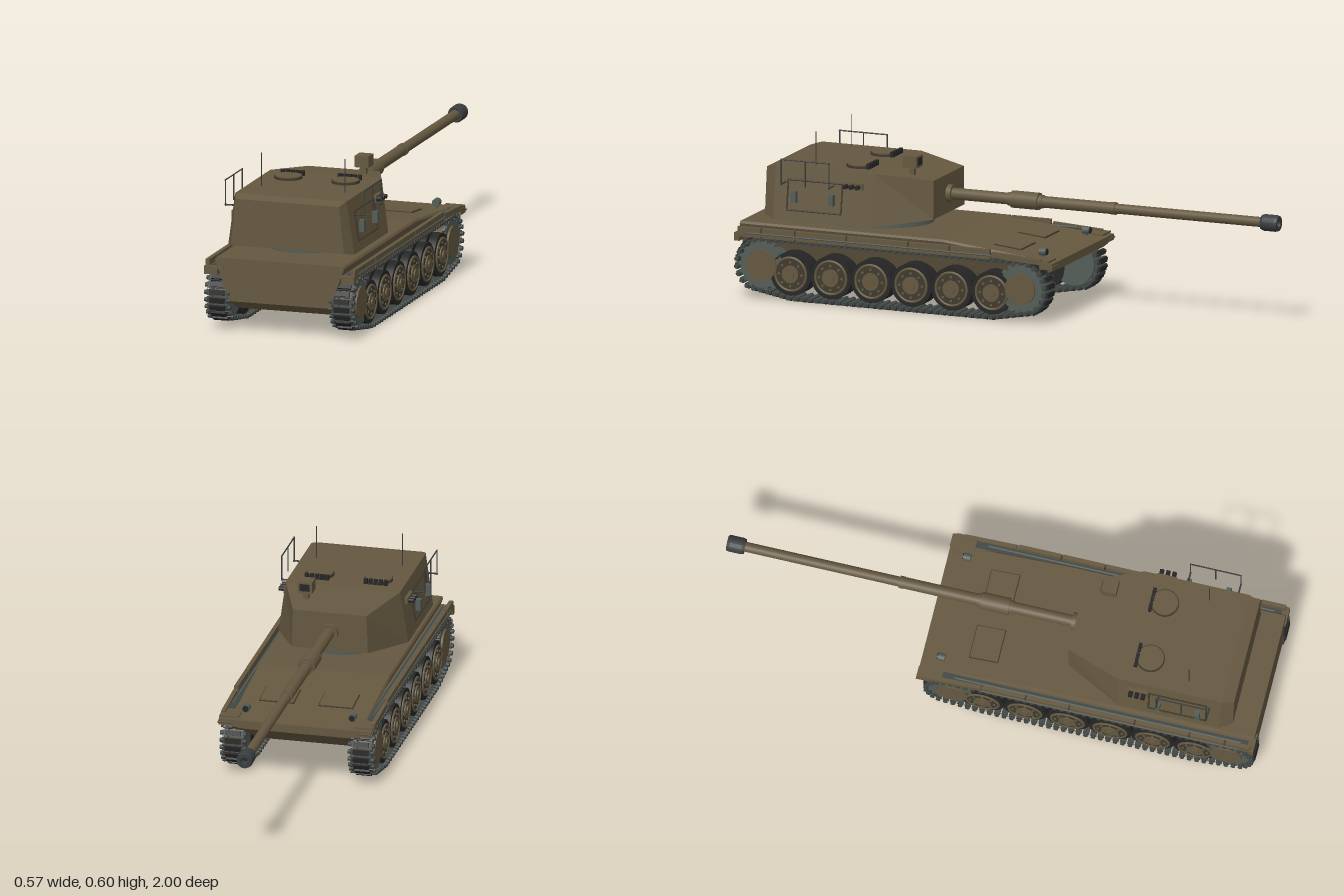
import * as THREE from 'three';
import { mergeGeometries } from 'three/addons/utils/BufferGeometryUtils.js';

const mat = (name, color, extra = {}) => Object.assign(new THREE.MeshStandardMaterial({ color, ...extra }), { name });
const M = {
  paint: mat('olive brown paint', 0x655840),
  seam: mat('dark brown seam', 0x41392b),
  steel: mat('grey green steel', 0x545d58),
  link: mat('track steel', 0x414745),
  rubber: mat('black rubber', 0x262626),
  gunmetal: mat('gunmetal', 0x3a3e3e),
};

// Symmetric ring from its +x half, given as [x, y, z]
const ring = half => half.concat(half.map(([x, y, z]) => [-x, y, z]).reverse());

// Flat-faced solid between rings, capped by strips from side to side
function loft(rings) {
  const tris = [], n = rings[0].length;
  const quad = (a, b, c, d) => tris.push([a, b, c], [a, c, d]);
  for (let r = 0; r + 1 < rings.length; r++)
    for (let i = 0; i < n; i++) {
      const j = (i + 1) % n;
      quad(rings[r][i], rings[r][j], rings[r + 1][j], rings[r + 1][i]);
    }
  const first = rings[0], last = rings[rings.length - 1];
  for (let i = 0; i + 1 < n / 2; i++) {
    quad(first[i + 1], first[i], first[n - 1 - i], first[n - 2 - i]);
    quad(last[i], last[i + 1], last[n - 2 - i], last[n - 1 - i]);
  }
  // Make every face point outward
  const mid = new THREE.Vector3(...first[0].map((_, k) => rings.flat().reduce((s, p) => s + p[k], 0) / rings.flat().length));
  let volume = 0;
  for (const t of tris) {
    const [a, b, c] = t.map(p => new THREE.Vector3(...p).sub(mid));
    volume += a.dot(b.cross(c));
  }
  if (volume < 0) tris.forEach(t => t.reverse());
  const g = new THREE.BufferGeometry();
  g.setAttribute('position', new THREE.Float32BufferAttribute(tris.flat(2), 3));
  g.computeVertexNormals();
  return g;
}

const box = (w, h, d, x, y, z, rx = 0) => new THREE.BoxGeometry(w, h, d).rotateX(rx).translate(x, y, z);
const cylX = (r, len, x, y, z, n = 24) => new THREE.CylinderGeometry(r, r, len, n).rotateZ(Math.PI / 2).translate(x, y, z);
const cylY = (r, len, x, y, z, n = 24) => new THREE.CylinderGeometry(r, r, len, n).translate(x, y, z);
const cylZ = (r, len, x, y, z, n = 8) => new THREE.CylinderGeometry(r, r, len, n).rotateX(Math.PI / 2).translate(x, y, z);

export function createModel() {
  const model = new THREE.Group();
  const add = (name, material, ...geos) => {
    const m = new THREE.Mesh(geos.length > 1 ? mergeGeometries(geos) : geos[0], material);
    m.name = name;
    model.add(m);
    return m;
  };
  const sides = [1, -1];
  const both = fn => sides.flatMap(fn);

  // Hull: stations [z, bottom half width, bottom y, knee half width, knee y, top y]
  const hull = [
    [0.99, 0.19, 0.113, 0.19, 0.115, 0.27],
    [0.9, 0.19, 0.07, 0.19, 0.115, 0.27],
    [0.2, 0.19, 0.07, 0.19, 0.115, 0.27],
    [0.0, 0.19, 0.07, 0.19, 0.115, 0.249],
    [-0.235, 0.19, 0.195, 0.235, 0.2, 0.225],
  ].map(([z, wb, yb, wk, yk, yt]) => ring([[wb, yb, z], [wk, yk, z], [0.243, yt - 0.008, z], [0.238, yt, z]]));
  add('hull', M.paint, loft(hull));
  add('nosePlate', M.paint, box(0.56, 0.022, 0.05, 0, 0.215, -0.213));

  // Fenders with segmented side boxes and a pipe in the gutter
  add('fenders', M.paint, ...both(s => [
    box(0.07, 0.006, 1.22, s * 0.246, 0.232, 0.385),
    box(0.05, 0.03, 0.02, s * 0.258, 0.222, 0.985),
    box(0.05, 0.006, 0.06, s * 0.258, 0.222, -0.212, -0.3),
  ]));
  const skirtEnds = [0.985, 0.89, 0.76, 0.56, 0.32, 0.16, 0.0];
  add('fenderBoxes', M.paint, ...both(s => [
    ...skirtEnds.slice(1).map((z, i) => box(0.015, 0.036, skirtEnds[i] - z - 0.006, s * 0.2745, 0.241, (z + skirtEnds[i]) / 2)),
    box(0.015, 0.02, 0.19, s * 0.2745, 0.235, -0.1, -0.06),
  ]));
  add('fenderSeams', M.seam, ...both(s => skirtEnds.slice(1, 6).map(z => box(0.012, 0.032, 0.008, s * 0.2745, 0.241, z))));
  add('gutterStrips', M.link, ...both(s => box(0.024, 0.003, 1.12, s * 0.255, 0.236, 0.41)));
  add('gutterPipes', M.steel, ...both(s => [cylZ(0.004, 1.05, s * 0.257, 0.241, 0.42), cylZ(0.003, 0.95, s * 0.2825, 0.238, 0.47)]));

  // Front deck hatches: a dark rim below a painted lid
  const tilt = -Math.atan(0.103);
  add('deckHatchRims', M.seam, ...both(s => box(0.128, 0.004, 0.108, s * 0.108, 0.248, -0.02, tilt)));
  add('deckHatches', M.paint, ...both(s => box(0.122, 0.008, 0.102, s * 0.108, 0.248, -0.02, tilt)));
  add('headlights', M.steel, ...both(s => [cylZ(0.014, 0.026, s * 0.195, 0.25, -0.168, 12), box(0.012, 0.02, 0.012, s * 0.195, 0.235, -0.165)]));
  add('headlightGlass', M.rubber, ...both(s => cylZ(0.011, 0.004, s * 0.195, 0.25, -0.182, 12)));

  // Turret ring and turret
  add('turretRing', M.steel, cylY(1, 0.03, 0, 0, 0, 40).scale(0.177, 1, 0.245).translate(0, 0.28, 0.595));
  add('turret', M.paint, loft([
    ring([[0.14, 0.315, 0.283], [0.238, 0.287, 0.49], [0.238, 0.287, 0.86], [0.213, 0.297, 0.905]]),
    ring([[0.135, 0.457, 0.283], [0.21, 0.48, 0.48], [0.21, 0.48, 0.865], [0.195, 0.468, 0.905]]),
  ]));

  // Roof cupolas with a row of periscopes
  add('cupolaRims', M.seam, ...both(s => cylY(0.051, 0.012, s * 0.108, 0.482, 0.578, 32)));
  add('cupolas', M.paint, ...both(s => cylY(0.047, 0.014, s * 0.108, 0.484, 0.578, 32)));
  add('periscopes', M.rubber, ...both(s => [-2, -1, 0, 1, 2].map(i => box(0.014, 0.022, 0.012, s * 0.108 + i * 0.0185, 0.488, 0.532))));

  // Roof sight
  add('sight', M.paint, box(0.052, 0.042, 0.055, 0.108, 0.516, 0.377), box(0.02, 0.04, 0.02, 0.108, 0.48, 0.377));
  add('sightWindow', M.rubber, box(0.036, 0.026, 0.004, 0.108, 0.517, 0.349));

  // Aerials and side rails
  add('aerials', M.gunmetal, ...both(s => cylY(0.0018, 0.13, s * 0.158, 0.537, 0.73, 6)));
  add('sideRails', M.gunmetal, ...both(s => [
    ...[0.635, 0.7275, 0.82].map(z => cylY(0.0025, 0.095, s * 0.262, 0.467, z, 6)),
    cylZ(0.0025, 0.19, s * 0.262, 0.514, 0.7275, 6),
    ...[0.635, 0.82].map(z => cylX(0.003, 0.045, s * 0.243, 0.424, z, 6)),
  ]));

  // Turret side fittings
  add('sideFrames', M.seam, ...both(s => [
    ...[0.6, 0.81].map(z => cylY(0.003, 0.11, 0, 0, 0, 6).rotateZ(s * 0.145).translate(s * 0.229, 0.38, z)),
    cylZ(0.003, 0.21, s * 0.222, 0.434, 0.705, 6),
    cylZ(0.003, 0.21, s * 0.236, 0.326, 0.705, 6),
  ]));
  add('sideCases', M.steel, ...both(s => [0.635, 0.78].map(z => box(0.02, 0.042, 0.018, s * 0.24, 0.376, z))));
  add('smokeLaunchers', M.rubber, ...both(s => [0.535, 0.558, 0.581].map(z => cylX(0.008, 0.034, s * 0.231, 0.43, z, 10))));
  add('launcherBrackets', M.paint, ...both(s => box(0.012, 0.024, 0.075, s * 0.222, 0.43, 0.558)));

  // Gun: profile points are [radius, distance forward]
  const turned = pts => new THREE.LatheGeometry(pts.map(p => new THREE.Vector2(...p)), 24).toNonIndexed().rotateX(-Math.PI / 2).translate(0, 0.385, 0);
  const steps = [[0.032, -0.3, -0.265], [0.021, -0.265, 0.36], [0.0225, 0.35, 0.368], [0.018, 0.368, 0.94], [0.031, -0.035, 0.07], [0.024, -0.05, 0.085]];
  add('gunBarrel', M.paint, ...steps.map(([r, a, b]) => cylZ(r, b - a, 0, 0.385, -(a + b) / 2, 24)));
  const muzzle = [[0.018, 0.935], [0.027, 0.935], [0.03, 0.945], [0.03, 0.99], [0.027, 1], [0.014, 1], [0.014, 0.96], [0, 0.96]];
  const muzzleGeo = turned(muzzle);
  muzzleGeo.computeVertexNormals();
  add('muzzle', M.gunmetal, muzzleGeo);
  add('bore', M.rubber, cylZ(0.0135, 0.004, 0, 0.385, -0.963, 16));

  // Road wheels
  const wheelZ = [0.78, 0.624, 0.468, 0.312, 0.156, 0];
  const wheels = fn => both(s => wheelZ.flatMap(z => fn(s, z)));
  add('wheelTyres', M.rubber, ...wheels((s, z) => [cylX(0.079, 0.03, s * 0.255, 0.1, z, 32), cylX(0.079, 0.03, s * 0.215, 0.1, z, 32)]));
  add('wheelDiscs', M.seam, ...wheels((s, z) => cylX(0.064, 0.006, s * 0.27, 0.1, z, 28)));
  add('wheelRims', M.paint, ...wheels((s, z) => new THREE.TorusGeometry(0.06, 0.005, 6, 28).rotateY(Math.PI / 2).translate(s * 0.272, 0.1, z)));
  add('wheelHubs', M.paint, ...wheels((s, z) => [cylX(0.032, 0.008, s * 0.274, 0.1, z, 20), cylX(0.016, 0.012, s * 0.277, 0.1, z, 14)]));
  add('wheelBolts', M.steel, ...wheels((s, z) => Array.from({ length: 8 }, (_, i) => {
    const a = i * Math.PI / 4;
    return cylX(0.005, 0.006, s * 0.274, 0.1 + 0.044 * Math.sin(a), z + 0.044 * Math.cos(a), 6);
  })));

  // Toothed end wheels
  const ends = fn => both(s => [0.893, -0.112].flatMap(z => fn(s, z)));
  add('endWheels', M.steel, ...ends((s, z) => [
    cylX(0.082, 0.012, s * 0.264, 0.123, z, 36), cylX(0.082, 0.012, s * 0.208, 0.123, z, 36),
    ...Array.from({ length: 18 }, (_, i) => {
      const a = i * Math.PI / 9;
      return box(0.01, 0.012, 0.02, s * 0.264, 0.123 + 0.083 * Math.sin(a), z + 0.083 * Math.cos(a), -a);
    }),
  ]));
  add('endWheelCaps', M.paint, ...ends((s, z) => cylX(0.058, 0.075, s * 0.24, 0.123, z, 32)));

  // Tracks: links laid along a closed loop in the (z, y) plane
  const loop = new THREE.Path();
  loop.moveTo(0, 0.012);
  loop.lineTo(0.78, 0.012);
  loop.absarc(0.893, 0.123, 0.095, -Math.PI / 3, Math.PI / 2, false);
  loop.absarc(-0.112, 0.123, 0.095, Math.PI / 2, Math.PI * 4 / 3, false);
  loop.closePath();
  const count = 96, links = [], pads = [];
  for (let i = 0; i < count; i++) {
    const p = loop.getPointAt(i / count), t = loop.getTangentAt(i / count);
    const place = g => g.rotateX(-Math.atan2(t.y, t.x));
    for (const s of sides) {
      const at = g => place(g).translate(s * 0.235, p.y, p.x);
      links.push(at(box(0.08, 0.009, 0.022, 0, 0, 0)), at(cylX(0.008, 0.012, 0.042, 0, 0, 8)), at(cylX(0.008, 0.012, -0.042, 0, 0, 8)));
      pads.push(at(box(0.056, 0.01, 0.018, 0, -0.007, 0)));
    }
  }
  add('trackLinks', M.link, ...links);
  add('trackPads', M.rubber, ...pads);

  return model;
}
